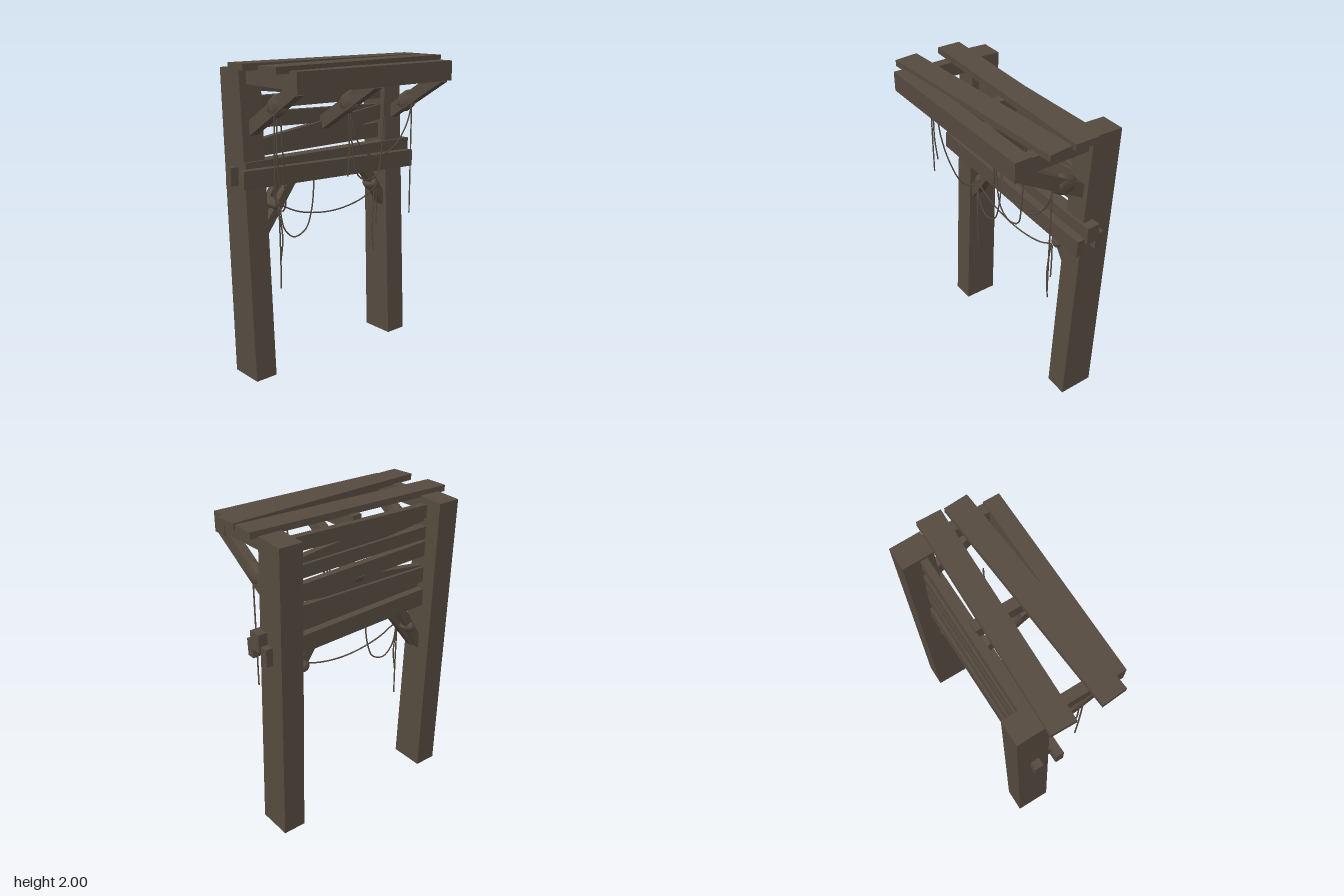
import * as THREE from 'three';

const wood = new THREE.MeshStandardMaterial({ color: 0x554a3f });
wood.name = 'weathered brown';

const V = (p) => new THREE.Vector3(...p);

export function createModel() {
  const model = new THREE.Group();
  const add = (name, geometry) => {
    const mesh = new THREE.Mesh(geometry, wood);
    mesh.name = name;
    model.add(mesh);
    return mesh;
  };

  // Straight timber from a to b: w is its level width, h its height
  const beam = (name, a, b, w, h) => {
    const mesh = add(name, new THREE.BoxGeometry(w, h, V(a).distanceTo(V(b))));
    mesh.position.copy(V(a).add(V(b)).multiplyScalar(0.5));
    mesh.lookAt(V(b));
    return mesh;
  };

  // Barrel-shaped rope lashing around a timber running along dir
  const lashing = (name, at, dir, rx, ry, length) => {
    const profile = [[0, -0.5], [0.8, -0.5], [1, -0.22], [1, 0.22], [0.8, 0.5], [0, 0.5]]
      .map(([r, y]) => new THREE.Vector2(r, y));
    const geometry = new THREE.LatheGeometry(profile, 12);
    geometry.rotateX(Math.PI / 2);
    geometry.scale(rx, ry, length);
    const mesh = add(name, geometry);
    mesh.position.copy(V(at));
    mesh.lookAt(V(at).add(V(dir)));
  };

  const rope = (name, points) => {
    const curve = new THREE.CatmullRomCurve3(points.map(V));
    add(name, new THREE.TubeGeometry(curve, points.length * 5, 0.005, 5));
  };

  // Leaning, slightly tapered posts
  for (const [name, x] of [['rightPost', -0.585], ['leftPost', 0.58]]) {
    const geometry = new THREE.BoxGeometry(0.152, 1, 1);
    const p = geometry.attributes.position;
    for (let i = 0; i < p.count; i++) {
      const top = p.getY(i) > 0;
      const front = p.getZ(i) > 0;
      const z = top ? (front ? -0.15 : -0.347) : (front ? -0.058 : -0.29);
      p.setXYZ(i, p.getX(i) + x, top ? (front ? 1.97 : 1.96) : 0, z);
    }
    geometry.computeVertexNormals();
    add(name, geometry);
  }

  // Roof planks and front beam
  beam('backRoofPlank', [-0.715, 1.98, -0.102], [0.7, 1.98, -0.067], 0.156, 0.04);
  beam('frontRoofPlank', [-0.715, 1.98, 0.208], [0.7, 1.98, 0.108], 0.154, 0.04);
  beam('frontBeam', [-0.62, 1.912, 0.297], [0.63, 1.912, 0.297], 0.105, 0.125);

  // Roof arms, diagonal struts and their lashings
  const slope = [0, 0.305, 0.5];
  for (const [side, x, wy, wz] of [
    ['right', -0.58, 1.765, 0.11], ['middle', 0.012, 1.735, 0.06], ['left', 0.593, 1.69, -0.01],
  ]) {
    beam(side + 'Arm', [x, 1.917, -0.2], [x, 1.917, 0.27], 0.066, 0.096);
    beam(side + 'Strut', [x, 1.56, -0.22], [x, 1.875, 0.3], 0.06, 0.082);
    lashing(side + 'StrutLashing', [x, wy, wz], slope, 0.037, 0.064, 0.13);
  }

  // Crooked back slats: y centre at the right end, at the left end, height, z
  const slats = [
    [1.885, 1.905, 0.085, -0.215],
    [1.875, 1.75, 0.1, -0.195],
    [1.75, 1.735, 0.08, -0.215],
    [1.645, 1.61, 0.095, -0.215],
    [1.475, 1.61, 0.1, -0.195],
    [1.47, 1.48, 0.1, -0.215],
  ];
  slats.forEach(([y0, y1, h, z], i) =>
    beam('backSlat' + (i + 1), [-0.53, y0, z], [0.53, y1, z], 0.045, h));

  // Cross rails in front of and through the posts
  beam('frontRail', [-0.715, 1.32, -0.075], [0.7, 1.277, -0.075], 0.052, 0.113);
  beam('middleRail', [-0.66, 1.355, -0.15], [0.715, 1.355, -0.15], 0.085, 0.113);
  beam('backRail', [-0.715, 1.32, -0.215], [0.7, 1.277, -0.215], 0.055, 0.113);

  // Knee braces, doubled on the right
  beam('rightKneeBraceFront', [-0.55, 0.915, -0.145], [-0.27, 1.29, -0.145], 0.05, 0.055);
  beam('rightKneeBraceBack', [-0.53, 0.95, -0.205], [-0.33, 1.29, -0.205], 0.05, 0.055);
  beam('leftKneeBrace', [0.55, 0.94, -0.17], [0.31, 1.29, -0.17], 0.07, 0.06);
  lashing('rightKneeLashing', [-0.43, 1.115, -0.178], [0.6, 0.8, 0], 0.077, 0.042, 0.065);
  lashing('leftKneeLashing', [0.415, 1.115, -0.17], [-0.58, 0.82, 0], 0.065, 0.042, 0.065);

  // Rope ends hanging from the struts
  rope('rightHangingRope', [[-0.605, 1.74, 0.115], [-0.61, 1.5, 0.115], [-0.61, 1.18, 0.115]]);
  rope('rightShortRope', [[-0.585, 1.7, 0.112], [-0.59, 1.45, 0.112], [-0.567, 1.29, 0.108]]);
  rope('middleHangingRope', [[0.01, 1.7, 0.055], [0.018, 1.45, 0.055], [0.005, 1.26, 0.055]]);
  rope('leftHangingRope', [[0.575, 1.68, 0.055], [0.575, 1.3, 0.055], [0.575, 0.92, 0.055]]);

  // Slack ropes between the lashings
  rope('rightSlackRope', [[-0.56, 1.72, 0.11], [-0.535, 1.48, 0.095], [-0.5, 1.29, 0.06],
    [-0.455, 1.13, 0.0], [-0.435, 1.085, -0.065], [-0.43, 1.115, -0.11]]);
  rope('middleLoop', [[0.025, 1.68, 0.055], [0.05, 1.4, 0.055], [0.09, 1.26, 0.055],
    [0.17, 1.213, 0.055], [0.27, 1.25, 0.055], [0.3, 1.4, 0.055], [0.325, 1.87, 0.055]]);
  rope('longLoop', [[0.03, 1.7, 0.05], [0.08, 1.5, 0.05], [0.17, 1.39, 0.05],
    [0.28, 1.36, 0.05], [0.42, 1.405, 0.05], [0.53, 1.53, 0.05], [0.585, 1.68, 0.05]]);
  rope('kneeRope', [[-0.43, 1.12, -0.105], [-0.25, 1.04, -0.105], [0.02, 1.003, -0.105],
    [0.27, 1.04, -0.105], [0.41, 1.11, -0.105]]);
  rope('kneeLoop', [[-0.42, 1.1, -0.105], [-0.385, 0.95, -0.105], [-0.31, 0.885, -0.105],
    [-0.215, 0.92, -0.105], [-0.165, 1.04, -0.105], [-0.135, 1.27, -0.11]]);

  // Rope ends hanging from the knee braces
  rope('rightKneeLongEnd', [[-0.425, 1.1, -0.105], [-0.42, 0.8, -0.105], [-0.42, 0.56, -0.105]]);
  rope('rightKneeShortEnd', [[-0.43, 1.1, -0.11], [-0.405, 0.9, -0.1], [-0.42, 0.74, -0.105]]);
  rope('leftKneeShortEnd', [[0.41, 1.1, -0.105], [0.412, 0.97, -0.105], [0.41, 0.84, -0.105]]);
  rope('leftKneeLongEnd', [[0.395, 1.1, -0.11], [0.38, 0.95, -0.105], [0.372, 0.82, -0.105], [0.388, 0.65, -0.105]]);

  return model;
}
